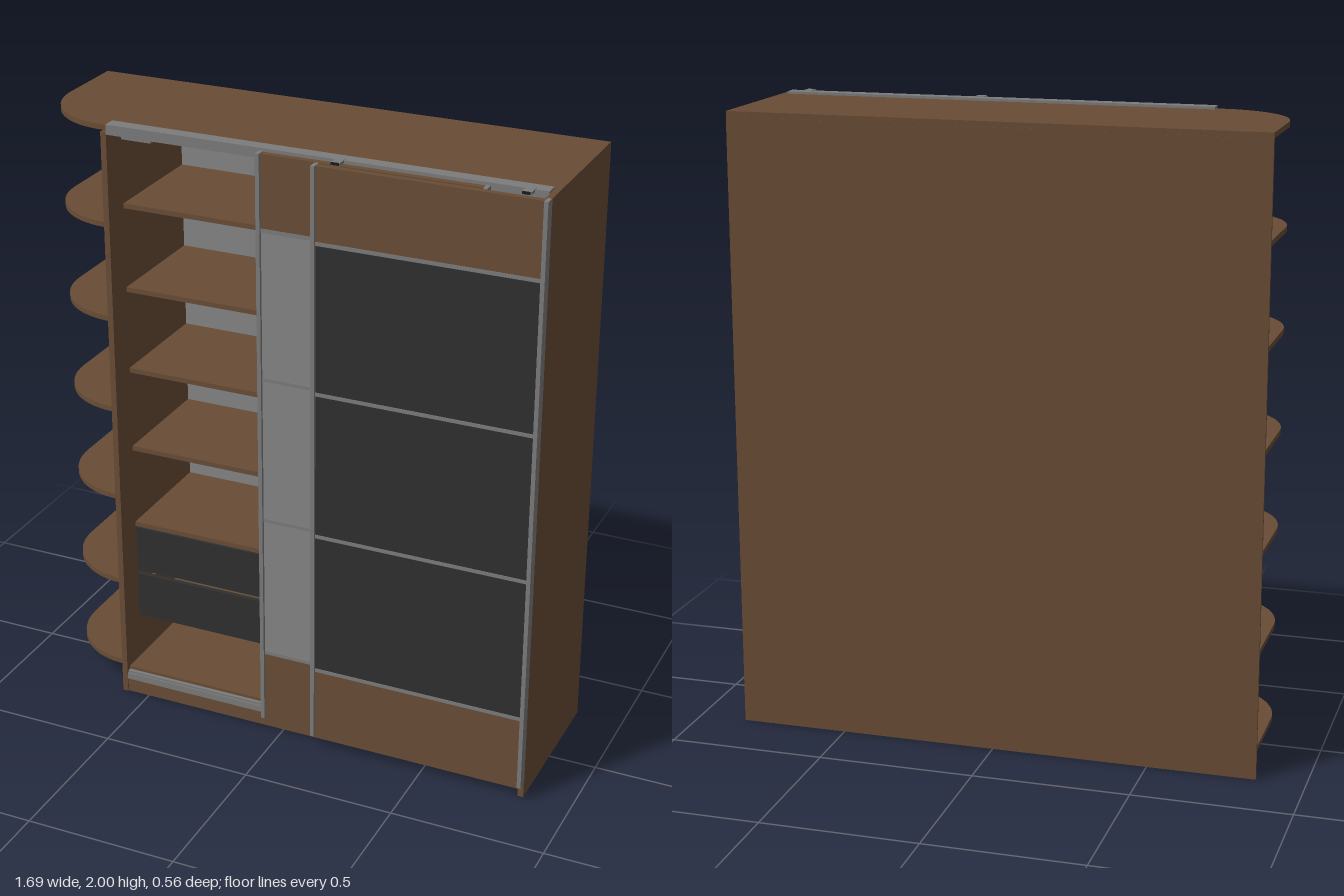
import * as THREE from 'three';

const flat = (name, color) => {
  const m = new THREE.MeshStandardMaterial({ color });
  m.name = name;
  return m;
};

export function createModel() {
  const root = new THREE.Group();
  root.name = 'wardrobe';
  const wood = flat('wood', 0x694d35);
  const metal = flat('metal', 0x7c7c7c);
  const mirror = flat('mirror', 0x868686);
  const dark = flat('darkGlass', 0x2f2f2f);
  const black = flat('blackPlastic', 0x1c1c1c);

  // Box given by its limits on each axis
  function slab(name, mat, x0, x1, y0, y1, z0, z1, parent = root) {
    const m = new THREE.Mesh(new THREE.BoxGeometry(x1 - x0, y1 - y0, z1 - z0), mat);
    m.position.set((x0 + x1) / 2, (y0 + y1) / 2, (z0 + z1) / 2);
    m.name = name;
    parent.add(m);
    return m;
  }

  // Horizontal board with a rounded front left corner
  function roundedBoard(name, right, top, thick = 0.017) {
    const s = new THREE.Shape();
    s.moveTo(-0.845, 0.28);
    s.lineTo(-0.845, 0.045);
    s.absarc(-0.6, 0.045, 0.245, Math.PI, Math.PI * 1.5, false);
    s.lineTo(right, -0.2);
    s.lineTo(right, 0.28);
    s.closePath();
    const g = new THREE.ExtrudeGeometry(s, { depth: thick, bevelEnabled: false, curveSegments: 20 });
    g.rotateX(-Math.PI / 2);
    const m = new THREE.Mesh(g, wood);
    m.position.y = top - thick;
    m.name = name;
    root.add(m);
  }

  // Carcass
  slab('backPanel', wood, -0.845, 0.845, 0, 1.973, -0.282, -0.272);
  slab('innerBackLining', mirror, -0.577, 0.825, 0.088, 1.972, -0.271, -0.267);
  slab('rightSide', wood, 0.826, 0.845, 0, 1.99, -0.28, 0.25);
  slab('leftSide', wood, -0.596, -0.577, 0, 1.973, -0.272, 0.218);
  slab('partition', wood, -0.095, -0.076, 0.088, 1.973, -0.267, 0.15);
  slab('bottomPanel', wood, -0.577, 0.826, 0.07, 0.088, -0.272, 0.2);
  slab('frontPlinth', wood, -0.577, 0.826, 0, 0.046, 0.195, 0.214);
  slab('rearPlinth', wood, -0.577, 0.826, 0, 0.07, -0.272, -0.255);
  roundedBoard('topPanel', 0.845, 1.99);

  // Open rounded end shelves
  for (let i = 1; i < 7; i++) roundedBoard('endShelf', -0.596, 1.99 - i * 0.3137);

  // Leg under the end shelves
  const leg = new THREE.Mesh(new THREE.CylinderGeometry(0.033, 0.033, 0.092, 24), metal);
  leg.position.set(-0.765, 0.046, 0.02);
  leg.name = 'leg';
  root.add(leg);

  // Inner shelves
  for (const y of [0.595, 0.873, 1.151, 1.429, 1.708])
    slab('innerShelf', wood, -0.577, -0.095, y - 0.008, y + 0.008, -0.267, 0.126);

  // Drawers, each a front with a box behind it
  for (const [y0, y1] of [[0.249, 0.408], [0.424, 0.582]]) {
    const d = new THREE.Group();
    d.name = 'drawer';
    root.add(d);
    slab('drawerFront', dark, -0.575, -0.097, y0, y1, 0.11, 0.126, d);
    slab('drawerBottom', wood, -0.56, -0.112, y0 + 0.02, y0 + 0.03, -0.22, 0.11, d);
    slab('drawerBack', wood, -0.56, -0.112, y0 + 0.03, y1 - 0.04, -0.23, -0.22, d);
    for (const x of [-0.565, -0.117])
      slab('drawerSide', wood, x, x + 0.01, y0 + 0.02, y1 - 0.04, -0.22, 0.11, d);
  }

  // Sliding rails
  slab('topRailCap', metal, -0.577, 0.826, 1.99, 1.998, 0.175, 0.218);
  slab('topRailFace', metal, -0.577, 0.826, 1.966, 1.99, 0.2005, 0.218);
  slab('bottomRail', metal, -0.577, 0.826, 0.048, 0.07, 0.175, 0.216);
  slab('bottomRailLip', metal, -0.577, 0.826, 0.07, 0.078, 0.2, 0.212);
  slab('softCloser', metal, -0.54, -0.44, 1.948, 1.96, 0.17, 0.19);

  // Sliding doors: end panels of wood, three infill panels, metal frame
  const bars = [0.297, 0.781, 1.266, 1.75];
  function door(name, x0, z0, infill) {
    const g = new THREE.Group();
    g.name = name;
    root.add(g);
    const x1 = x0 + 0.72, zBack = z0 + 0.004, zFront = z0 + 0.024;
    for (const x of [x0, x1 - 0.013])
      slab('doorStile', metal, x, x + 0.013, 0.05, 1.99, z0, z0 + 0.034, g);
    slab('lowerPanel', wood, x0 + 0.013, x1 - 0.013, 0.052, bars[0], zBack, zFront, g);
    slab('upperPanel', wood, x0 + 0.013, x1 - 0.013, bars[3], 1.988, zBack, zFront, g);
    for (let i = 0; i < 3; i++) {
      slab('infillPanel', infill, x0 + 0.013, x1 - 0.013, bars[i], bars[i + 1], zBack, zFront, g);
    }
    for (const y of bars)
      slab('doorBar', metal, x0 + 0.013, x1 - 0.013, y - 0.006, y + 0.006, zBack - 0.001, zFront + 0.002, g);
    // Rollers at the bottom
    for (const x of [x0 + 0.03, x1 - 0.09])
      slab('roller', black, x, x + 0.03, 0.046, 0.056, z0 - 0.006, z0 + 0.004, g);
  }
  door('innerDoor', -0.066, 0.215, mirror);
  door('outerDoor', 0.125, 0.246, dark);

  // Hangers joining the outer door to the top rail
  for (const x of [0.19, 0.77]) {
    slab('hanger', metal, x - 0.014, x + 0.014, 1.99, 1.999, 0.205, 0.25);
    slab('hangerCap', black, x - 0.012, x + 0.012, 1.992, 2, 0.249, 0.253);
  }
  return root;
}
